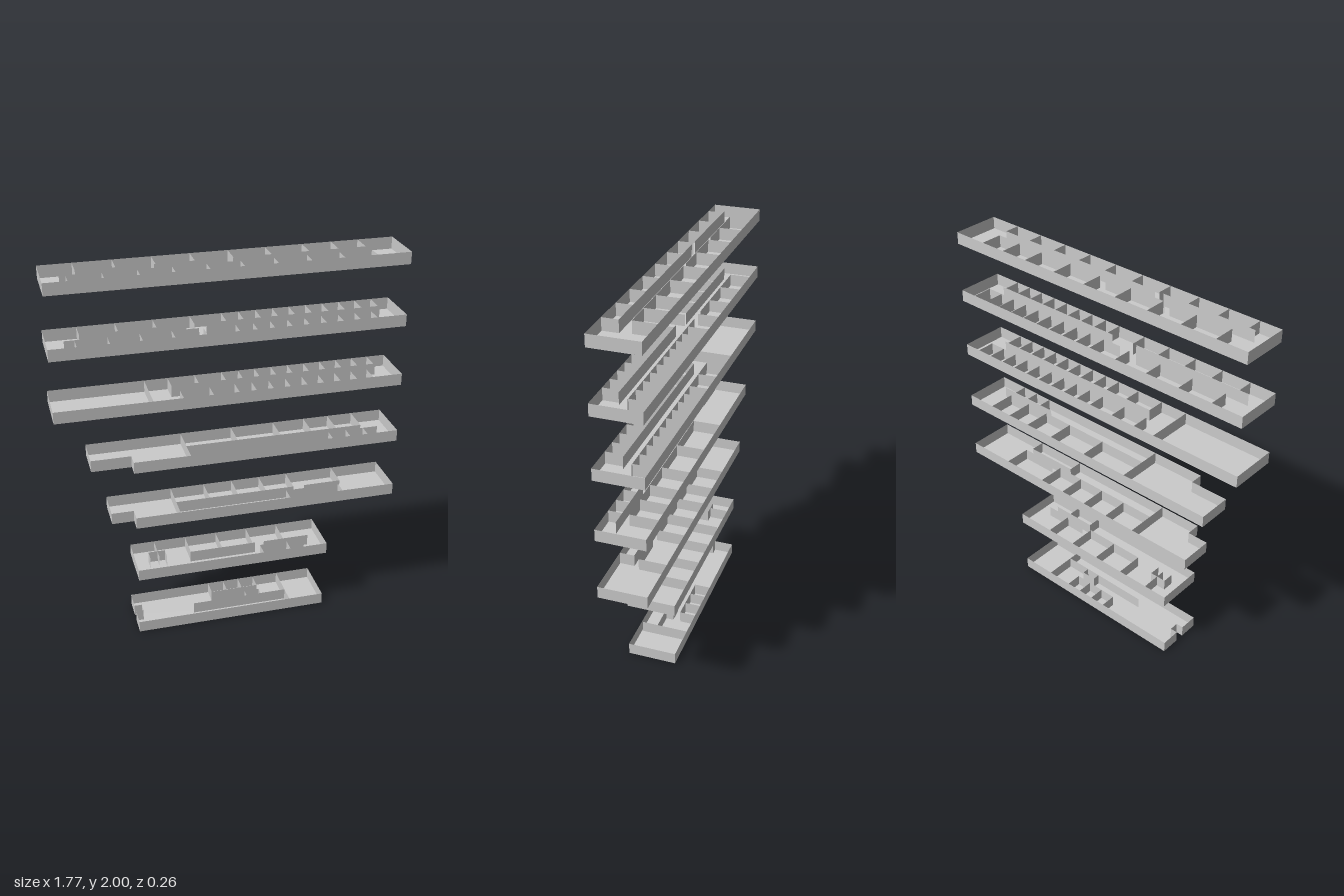
import * as THREE from 'three';

const material = new THREE.MeshStandardMaterial({ color: 0xcccccc, side: THREE.DoubleSide, flatShading: true });
const H = 0.062; // wall height
const BACK = -0.125, FRONT = 0.125, END = 0.885;

// Thin upright wall between two plan points
function wall(group, name, x1, z1, x2, z2) {
  const mesh = new THREE.Mesh(new THREE.PlaneGeometry(Math.hypot(x2 - x1, z2 - z1), H), material);
  mesh.position.set((x1 + x2) / 2, H / 2, (z1 + z2) / 2);
  mesh.rotation.y = -Math.atan2(z2 - z1, x2 - x1);
  mesh.name = name;
  group.add(mesh);
}

// Floor with walls round its outline
function storey(model, name, y, outline) {
  const group = new THREE.Group();
  group.name = name;
  group.position.y = y;
  const shape = new THREE.Shape(outline.map(([x, z]) => new THREE.Vector2(x, -z)));
  const floor = new THREE.Mesh(new THREE.ShapeGeometry(shape).rotateX(-Math.PI / 2), material);
  floor.name = 'floor';
  group.add(floor);
  outline.forEach(([x, z], i) => {
    const [x2, z2] = outline[(i + 1) % outline.length];
    wall(group, 'outerWall', x, z, x2, z2);
  });
  model.add(group);
  return group;
}

// Evenly spaced cross walls from x = a to x = b
function rooms(group, name, a, b, count, z1, z2) {
  for (let i = 0; i < count; i++) {
    const x = count > 1 ? a + (b - a) * i / (count - 1) : a;
    wall(group, name, x, z1, x, z2);
  }
}

const backRooms = (g, a, b, count, z) => rooms(g, 'backRoomWall', a, b, count, BACK, z);
const frontRooms = (g, a, b, count, z) => rooms(g, 'frontRoomWall', a, b, count, z, FRONT);
const crossWall = (g, x) => rooms(g, 'crossWall', x, x, 1, BACK, FRONT);
const corridor = (g, a, b, z) => wall(g, 'corridorWall', a, z, b, z);

const rect = (x0, x1, z0, z1) => [[x0, z0], [x0, z1], [x1, z1], [x1, z0]];
// Outline whose front left corner is cut away
const stepped = (x0, z) => [[x0, BACK], [x0, z], [-0.51, z], [-0.51, FRONT], [END, FRONT], [END, BACK]];

function lowerStoreys(model) {
  // Ground storey with an entrance recess in its end wall
  let g = storey(model, 'groundStorey', 0, [
    [-0.52, BACK], [-0.52, -0.02], [-0.48, -0.02], [-0.48, 0.03],
    [-0.52, 0.03], [-0.52, 0.13], [0.51, 0.13], [0.51, BACK]]);
  backRooms(g, -0.08, 0.18, 4, -0.04);
  crossWall(g, 0.32);
  corridor(g, -0.08, 0.18, -0.04);
  corridor(g, -0.2, 0.32, 0.04);
  corridor(g, 0.1, 0.18, 0);
  rooms(g, 'closetWall', 0.1, 0.18, 2, 0, 0.04);

  g = storey(model, 'secondStorey', 0.328, rect(-0.51, 0.525, -0.13, FRONT));
  backRooms(g, -0.38, 0.31, 5, 0.02);
  frontRooms(g, 0.17, 0.32, 2, 0.05);
  corridor(g, -0.21, 0.15, 0.02);
  corridor(g, 0.2, 0.45, 0.02);
  corridor(g, 0.17, 0.42, 0.05);
  corridor(g, -0.43, -0.34, -0.03);
  rooms(g, 'closetWall', -0.43, -0.34, 2, -0.03, 0.03);
}

function middleStoreys(model) {
  let g = storey(model, 'thirdStorey', 0.65, stepped(-0.625, 0.05));
  crossWall(g, -0.28);
  backRooms(g, -0.1, 0.36, 4, 0.02);
  backRooms(g, 0.62, 0.62, 1, 0.02);
  frontRooms(g, 0.31, 0.6, 2, 0.05);
  corridor(g, -0.28, 0.36, 0.02);
  corridor(g, 0.42, 0.62, 0.02);
  corridor(g, 0.31, 0.6, 0.05);

  g = storey(model, 'fourthStorey', 0.973, stepped(-0.715, 0.055));
  crossWall(g, -0.22);
  backRooms(g, 0.05, 0.28, 2, 0.02);
  backRooms(g, 0.45, 0.72, 3, 0.02);
  frontRooms(g, 0.53, 0.72, 3, 0.055);
  corridor(g, -0.22, 0.72, 0.02);
  corridor(g, 0.45, 0.8, 0.055);
}

function upperStoreys(model) {
  const outline = rect(-END, END, BACK, FRONT);
  // Open hall at one end, small rooms at the other
  let g = storey(model, 'fifthStorey', 1.296, outline);
  crossWall(g, -0.4);
  backRooms(g, -0.28, -0.14, 2, -0.03);
  backRooms(g, 0, 0.79, 10, -0.03);
  frontRooms(g, -0.25, -0.1, 2, 0.03);
  frontRooms(g, 0.03, 0.73, 9, 0.03);
  corridor(g, -0.28, 0.8, -0.03);
  corridor(g, -0.25, 0.75, 0.03);

  g = storey(model, 'sixthStorey', 1.617, outline);
  backRooms(g, -0.72, -0.16, 4, -0.02);
  backRooms(g, 0, 0.79, 10, -0.02);
  frontRooms(g, -0.75, -0.13, 5, 0.04);
  frontRooms(g, 0.03, 0.73, 9, 0.04);
  corridor(g, -0.72, -0.2, -0.02);
  corridor(g, -0.1, 0.8, -0.02);
  corridor(g, -0.8, -0.15, 0.04);
  corridor(g, 0, 0.75, 0.04);

  g = storey(model, 'topStorey', 1.938, outline);
  backRooms(g, -0.72, 0.41, 7, -0.01);
  backRooms(g, 0.56, 0.7, 2, -0.01);
  frontRooms(g, -0.77, 0.71, 10, 0.045);
  corridor(g, -0.72, -0.38, -0.01);
  corridor(g, -0.35, 0, -0.01);
  corridor(g, 0.03, 0.7, -0.01);
  corridor(g, -0.8, -0.3, 0.045);
  corridor(g, -0.25, 0.71, 0.045);
}

export function createModel() {
  const model = new THREE.Group();
  model.name = 'stackedFloorPlans';
  lowerStoreys(model);
  middleStoreys(model);
  upperStoreys(model);
  return model;
}
